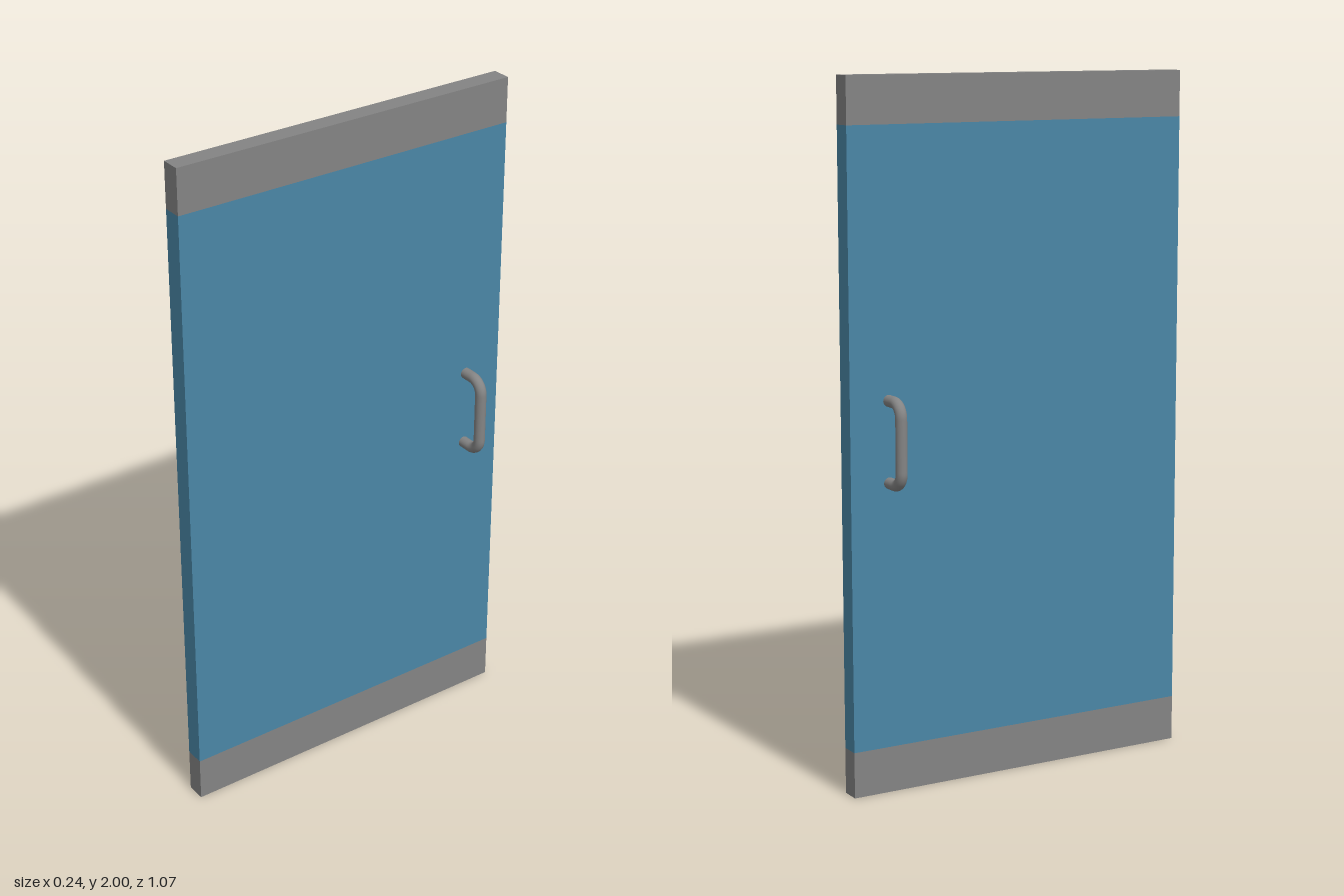
import * as THREE from 'three';

const WIDTH = 1.068, THICK = 0.057, HEIGHT = 2, RAIL = 0.132;

// Pull handle on one side of the door (side = 1 or -1)
function makeHandle(side, material) {
  const reach = 0.102, low = 0.888, high = 1.118, bend = 0.04, z = -0.416;
  const p = (x, y) => new THREE.Vector3(side * x, y, z);
  const path = new THREE.CurvePath();
  const k = bend * 0.448; // control offset for a round corner
  path.add(new THREE.LineCurve3(p(0.015, low), p(reach - bend, low)));
  path.add(new THREE.CubicBezierCurve3(
    p(reach - bend, low), p(reach - k, low), p(reach, low + k), p(reach, low + bend)));
  path.add(new THREE.LineCurve3(p(reach, low + bend), p(reach, high - bend)));
  path.add(new THREE.CubicBezierCurve3(
    p(reach, high - bend), p(reach, high - k), p(reach - k, high), p(reach - bend, high)));
  path.add(new THREE.LineCurve3(p(reach - bend, high), p(0.015, high)));
  const handle = new THREE.Mesh(new THREE.TubeGeometry(path, 72, 0.0165, 20), material);
  handle.name = side > 0 ? 'leftHandle' : 'rightHandle';
  return handle;
}

export function createModel() {
  const door = new THREE.Group();
  door.name = 'glassDoor';
  const metal = new THREE.MeshStandardMaterial({ color: 0x848484 });
  metal.name = 'grey metal';
  const glass = new THREE.MeshStandardMaterial({ color: 0x4a86a6 });
  glass.name = 'blue glass';

  // Slab sections stacked from the floor up
  const sections = [
    ['bottomRail', 0, RAIL, metal],
    ['glassPanel', RAIL, HEIGHT - RAIL, glass],
    ['topRail', HEIGHT - RAIL, HEIGHT, metal],
  ];
  for (const [name, y0, y1, material] of sections) {
    const mesh = new THREE.Mesh(new THREE.BoxGeometry(THICK, y1 - y0, WIDTH), material);
    mesh.position.y = (y0 + y1) / 2;
    mesh.name = name;
    door.add(mesh);
  }

  // Matching handles on both faces
  for (const side of [1, -1]) door.add(makeHandle(side, metal));
  return door;
}
